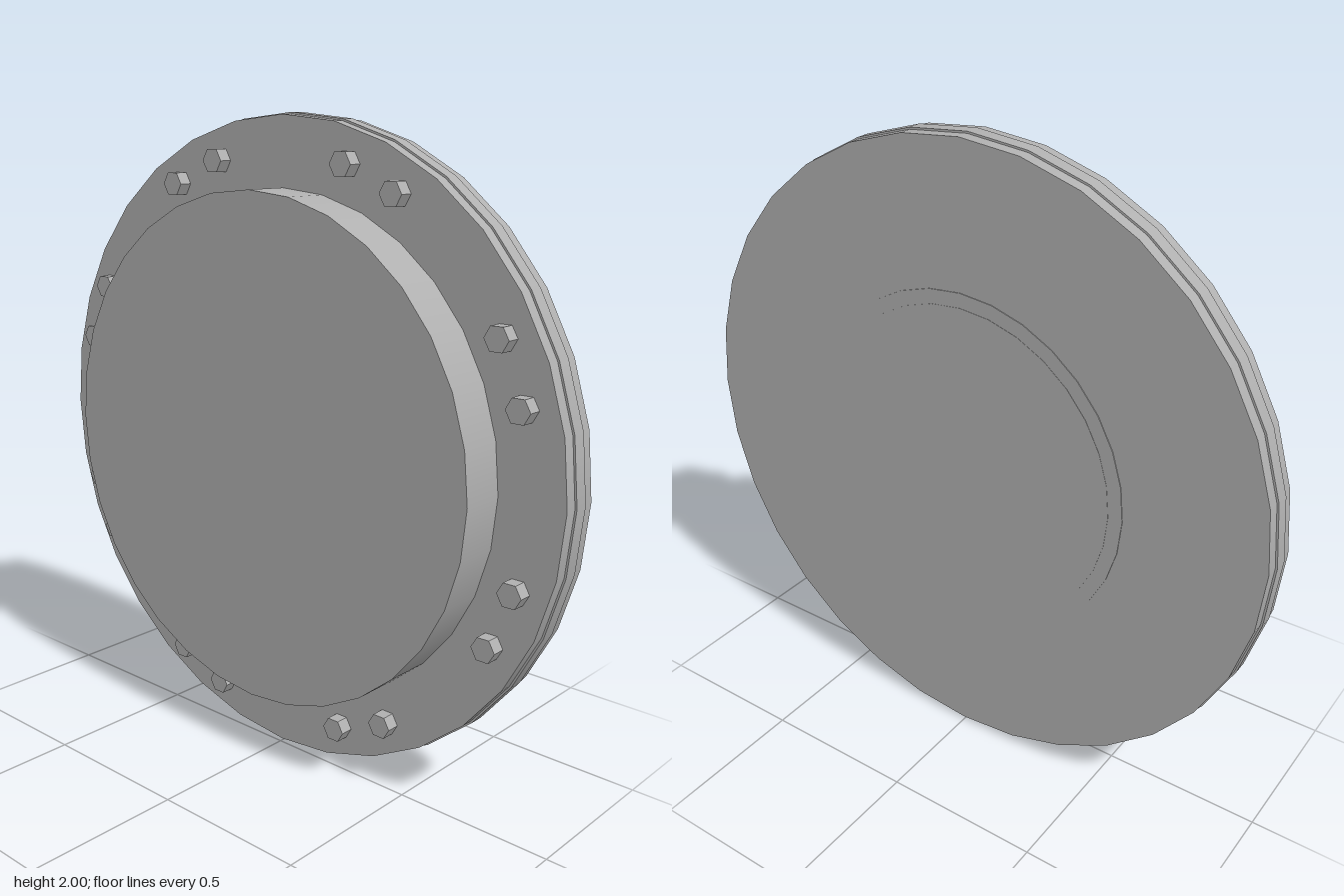
import * as THREE from 'three';

export function createModel() {
  const model = new THREE.Group();
  const steel = new THREE.MeshStandardMaterial({ color: 0xb0b0b0 });
  steel.name = 'grey steel';

  // Round plate lying across z, from z0 (back) to z1 (front)
  function disc(name, radius, z0, z1, sides = 32) {
    const geometry = new THREE.CylinderGeometry(radius, radius, z1 - z0, sides);
    geometry.rotateX(Math.PI / 2);
    const mesh = new THREE.Mesh(geometry, steel);
    mesh.name = name;
    mesh.position.set(0, 1, (z0 + z1) / 2);
    model.add(mesh);
    return mesh;
  }

  // Flange of two plates with a slightly wider gasket between them
  disc('rearFlange', 0.994, -0.132, -0.092);
  disc('gasket', 1, -0.092, -0.047);
  disc('frontFlange', 0.994, -0.047, -0.008);

  // Raised front cover
  disc('frontCover', 0.785, -0.01, 0.136);

  // Very shallow stepped plates on the back
  disc('rearPlate', 0.555, -0.1345, -0.13);
  disc('rearInnerPlate', 0.51, -0.1355, -0.13);

  // Hexagonal bolts, a pair on each side of every diagonal of the rim
  const head = new THREE.CylinderGeometry(0.039, 0.039, 0.045, 6).toNonIndexed();
  head.computeVertexNormals();
  head.rotateX(Math.PI / 2);
  head.rotateZ(Math.PI / 2);
  const bolts = new THREE.Group();
  bolts.name = 'bolts';
  for (let quarter = 0; quarter < 4; quarter++) {
    for (const degrees of [16.4, 28.8, 61.2, 73.6]) {
      const a = THREE.MathUtils.degToRad(quarter * 90 + degrees);
      const bolt = new THREE.Mesh(head, steel);
      bolt.name = 'bolt';
      bolt.position.set(Math.cos(a) * 0.895, 1 + Math.sin(a) * 0.895, 0.0115);
      bolts.add(bolt);
    }
  }
  model.add(bolts);
  return model;
}
